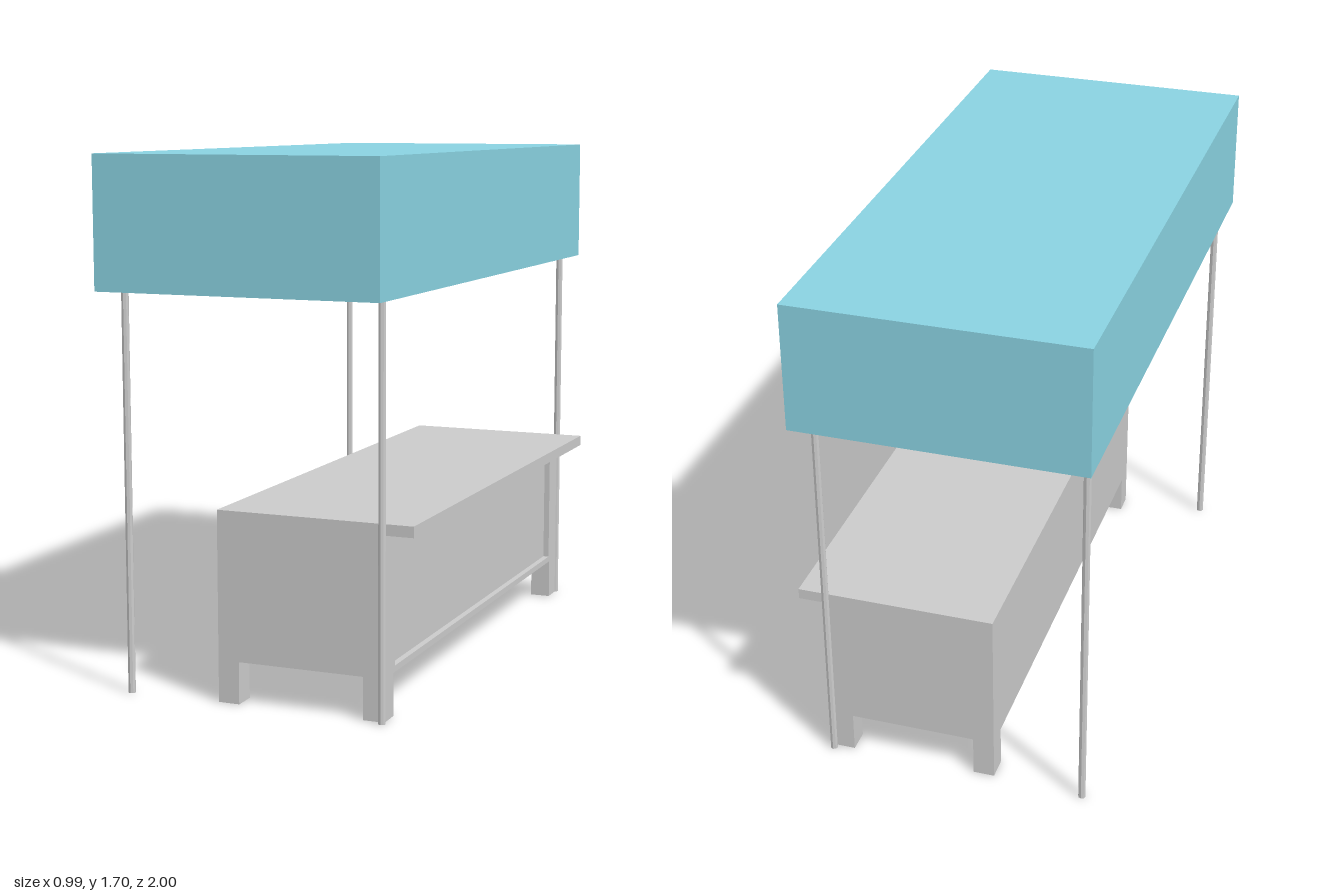
import * as THREE from 'three';

const grey = new THREE.MeshStandardMaterial({ color: 0xcccccc, flatShading: true });
const teal = new THREE.MeshStandardMaterial({ color: 0x8ad3e2, flatShading: true });

function add(parent, name, geometry, material) {
  const mesh = new THREE.Mesh(geometry, material);
  mesh.name = name;
  parent.add(mesh);
  return mesh;
}

// Box given by its lower and upper corners
function box(parent, name, [x0, y0, z0], [x1, y1, z1], material = grey) {
  const mesh = add(parent, name, new THREE.BoxGeometry(x1 - x0, y1 - y0, z1 - z0), material);
  mesh.position.set((x0 + x1) / 2, (y0 + y1) / 2, (z0 + z1) / 2);
  return mesh;
}

// Rectangular ring, extruded along +z
function frame(w, h, innerW, innerH, depth) {
  const rect = (Type, a, b) => new Type([[-a, -b], [a, -b], [a, b], [-a, b]]
    .map(([x, y]) => new THREE.Vector2(x / 2, y / 2)));
  const shape = rect(THREE.Shape, w, h);
  shape.holes.push(rect(THREE.Path, innerW, innerH));
  return new THREE.ExtrudeGeometry(shape, { depth, bevelEnabled: false });
}

export function createModel() {
  const stall = new THREE.Group();
  stall.name = 'marketStall';

  // Counter: carcass, framed front with recessed panel, overhanging top, four feet
  const counter = new THREE.Group();
  counter.name = 'counter';
  stall.add(counter);
  const back = -0.155, front = 0.4, end = 0.872, floor = 0.135, under = 0.575, recess = 0.02;
  box(counter, 'carcass', [back, floor, -end], [front - recess, under, end]);
  const panelFrame = add(counter, 'frontPanelFrame',
    frame(2 * end, under - floor, 1.574, 0.4, recess), grey);
  panelFrame.rotation.y = Math.PI / 2;
  panelFrame.position.set(front - recess, (floor + under) / 2, 0);
  box(counter, 'counterTop', [back, under, -end], [0.493, 0.61, end]);
  for (const x of [back, front - 0.07]) {
    for (const z of [-end, end - 0.075]) {
      box(counter, 'foot', [x, 0, z], [x + 0.07, floor, z + 0.075]);
    }
  }

  // Canopy: hollow box, open underneath
  const canopy = new THREE.Group();
  canopy.name = 'canopy';
  stall.add(canopy);
  const x0 = -0.495, x1 = 0.437, low = 1.28, ceiling = 1.61, top = 1.695, wall = 0.07;
  const width = x1 - x0, middle = (x0 + x1) / 2;
  const walls = add(canopy, 'canopyWalls',
    frame(width, 2, width - 2 * wall, 2 - 2 * wall, ceiling - low), teal);
  walls.rotation.x = -Math.PI / 2;
  walls.position.set(middle, low, 0);
  box(canopy, 'canopyRoof', [x0, ceiling, -1], [x1, top, 1], teal);

  // Four slim posts
  for (const sx of [-1, 1]) {
    for (const sz of [-1, 1]) {
      const post = add(stall, 'post', new THREE.CylinderGeometry(0.012, 0.012, low, 8), grey);
      post.position.set(middle + sx * 0.426, low / 2, sz * 0.885);
    }
  }
  return stall;
}
